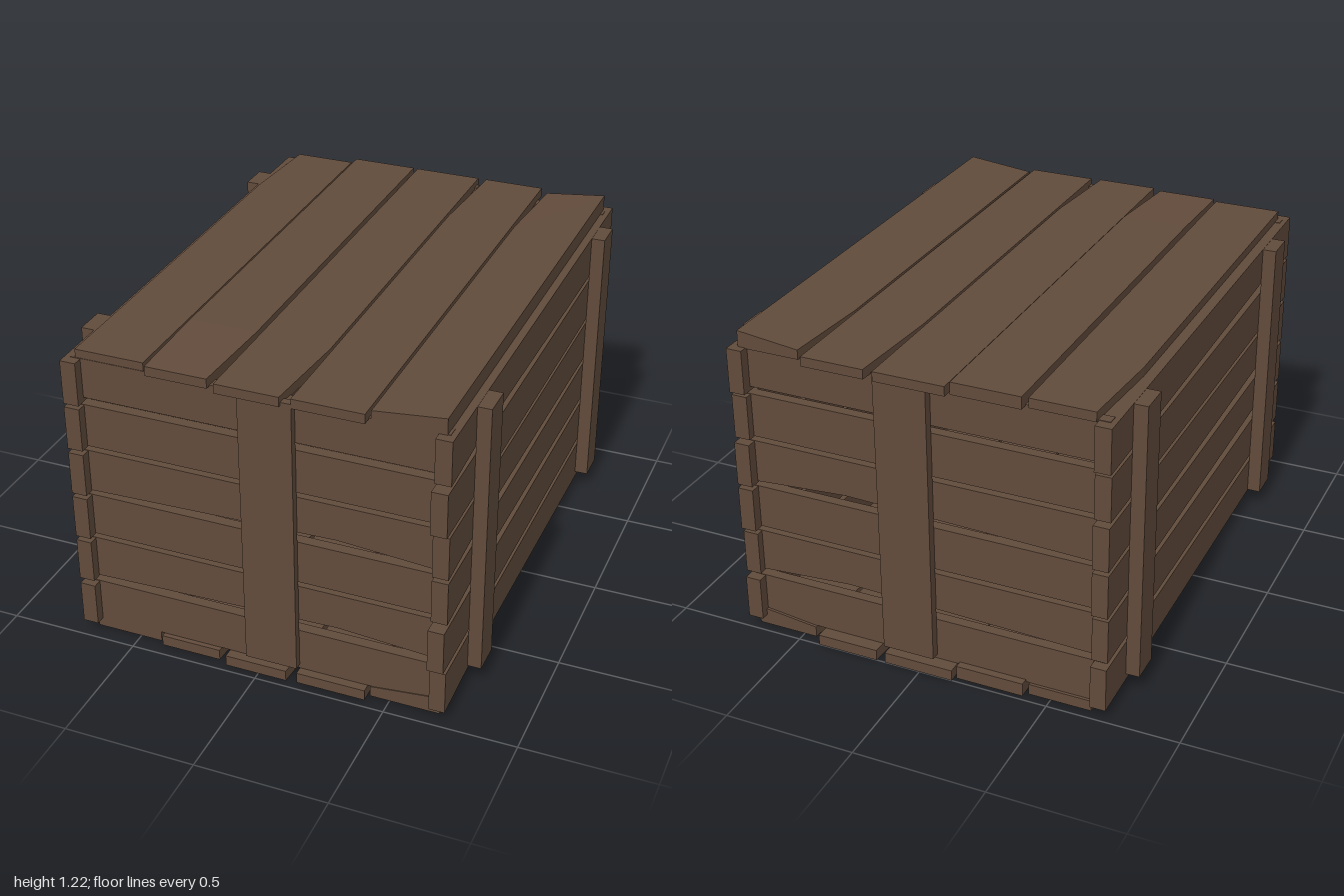
import * as THREE from 'three';

const wood = new THREE.MeshStandardMaterial({ color: 0x614b3b });
wood.name = 'brown wood';

// Box between two corners. With a cut, it is split across its axis there and
// warp(p, s) may move each vertex; s holds -1 / 0 / 1 for each direction.
function board(name, min, max, axis, cut, warp) {
  const size = max.map((v, i) => v - min[i]);
  const segs = [1, 1, 1];
  if (warp) segs[axis] = 2;
  let geo = new THREE.BoxGeometry(...size, ...segs);
  const pos = geo.attributes.position;
  for (let i = 0; i < pos.count; i++) {
    const p = [pos.getX(i), pos.getY(i), pos.getZ(i)];
    const s = p.map((v) => (Math.abs(v) < 1e-6 ? 0 : Math.sign(v)));
    for (let k = 0; k < 3; k++) p[k] += (min[k] + max[k]) / 2;
    if (warp) {
      if (s[axis] === 0) p[axis] = cut;
      warp(p, s);
    }
    pos.setXYZ(i, ...p);
  }
  geo = geo.toNonIndexed();
  geo.computeVertexNormals();
  const mesh = new THREE.Mesh(geo, wood);
  mesh.name = name;
  return mesh;
}

// Lid and floor planks: x range, z range, tapered corner (x side, z end, amount)
const planks = [
  { x: [-0.68, -0.415], z: [-0.96, 0.93], taper: [-1, -1, 0.025] },
  { x: [-0.4, -0.14], z: [-0.98, 0.95], taper: [1, 1, -0.025], droop: 0.01 },
  { x: [-0.13, 0.14], z: [-1, 0.97], taper: [1, 1, -0.03] },
  { x: [0.15, 0.415], z: [-1, 0.965], taper: [-1, -1, 0.025] },
  { x: [0.425, 0.69], z: [-0.96, 0.935], taper: [-1, -1, 0.025], wedge: 0.028 },
];

function plankDeck(name, y0, y1) {
  const deck = new THREE.Group();
  deck.name = name;
  planks.forEach(({ x, z, taper: [sx, sz, amount], droop = 0, wedge = 0 }) => {
    deck.add(board('plank', [x[0], y0, z[0]], [x[1], y1 + droop, z[1]], 2, 0.6 * sz, (p, s) => {
      if (s[0] === sx && s[2] === sz) p[0] += amount;
      if (s[1] > 0 && s[0] > 0) p[1] += wedge;
      if (s[1] > 0 && s[2] > 0) p[1] -= droop;
    }));
  });
  return deck;
}

export function createModel() {
  const crate = new THREE.Group();
  crate.name = 'woodenCrate';

  crate.add(plankDeck('floor', 0, 0.042));
  crate.add(plankDeck('lid', 1.153, 1.19));

  const rows = [0.04, 0.235, 0.424, 0.611, 0.8, 0.985];

  // Long side slats; some have a chipped lower outer edge
  for (const side of [1, -1]) {
    const group = new THREE.Group();
    group.name = side > 0 ? 'leftSide' : 'rightSide';
    const x = side > 0 ? [0.66, 0.72] : [-0.72, -0.66];
    rows.forEach((y, i) => {
      const straight = i === 1 || i === 4;
      const z = straight ? [-0.98, 1] : [-0.99, 0.97];
      if (side < 0) z[1] = 0.97;
      const chip = (p, s) => {
        if (s[0] === side && s[1] < 0 && s[2] === 0) p[1] += 0.026;
      };
      group.add(board('sideSlat', [x[0], y, z[0]], [x[1], y + 0.171, z[1]], 2, 0.6,
        straight ? null : chip));
    });
    // Upright battens
    const bx = side > 0 ? [0.72, 0.772] : [-0.772, -0.72];
    for (const z of [[0.605, 0.725], [-0.797, -0.677]]) {
      group.add(board('sideBatten', [bx[0], 0.07, z[0]], [bx[1], 1.155, z[1]]));
    }
    crate.add(group);
  }

  // End slats and central upright
  for (const end of [1, -1]) {
    const group = new THREE.Group();
    group.name = end > 0 ? 'frontEnd' : 'backEnd';
    const z = end > 0 ? [0.89, 0.932] : [-0.95, -0.91];
    rows.forEach((y, i) => {
      const chip = (p, s) => {
        if (s[2] === end && s[1] < 0 && s[0] === 0) p[1] += 0.028;
      };
      const low = i === 5 ? 1.002 : y + 0.003;
      group.add(board('endSlat', [-0.7, low, z[0]], [0.7, y + 0.173, z[1]], 0, 0.3,
        i === 1 || i === 3 ? chip : null));
    });
    const bz = end > 0 ? [0.932, 0.962] : [-0.985, -0.95];
    group.add(board('endBatten', [-0.05, 0.06, bz[0]], [0.15, 1.167, bz[1]]));
    crate.add(group);
  }

  return crate;
}
